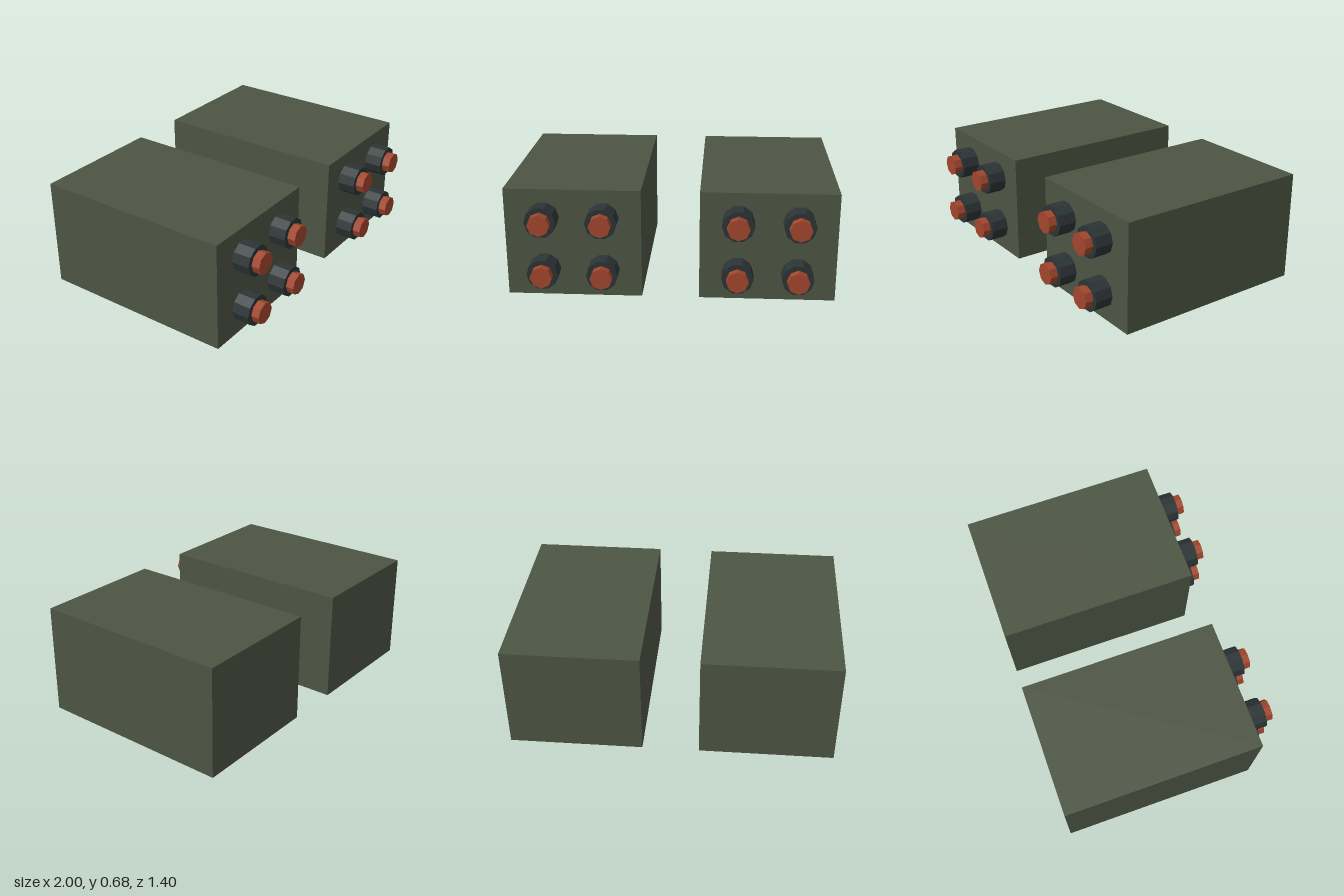
import * as THREE from 'three';

export function createModel() {
  const model = new THREE.Group();
  model.name = 'twinLauncherPods';

  const mat = (name, color) => {
    const m = new THREE.MeshStandardMaterial({ color, flatShading: true });
    m.name = name;
    return m;
  };
  const olive = mat('olive green', 0x4d5543);
  const charcoal = mat('charcoal', 0x2c3436);
  const rust = mat('rust red', 0xa2462d);

  // Cylinder lying along z, with corners on the x axis
  const rod = (radius, z0, z1, sides) =>
    new THREE.CylinderGeometry(radius, radius, z1 - z0, sides, 1, false, Math.PI / 2)
      .rotateX(Math.PI / 2)
      .translate(0, 0, (z0 + z1) / 2);

  const boxGeo = new THREE.BoxGeometry(0.825, 0.68, 1.24);
  const tubeGeo = rod(0.096, 0.5, 0.65, 10);
  const tipGeo = rod(0.067, 0.62, 0.7, 8);

  const add = (parent, name, geometry, material, x, y, z) => {
    const mesh = new THREE.Mesh(geometry, material);
    mesh.name = name;
    mesh.position.set(x, y, z);
    parent.add(mesh);
  };

  // One pod on each side, each with a two by two set of tubes
  for (const side of [1, -1]) {
    const pod = new THREE.Group();
    pod.name = side > 0 ? 'leftPod' : 'rightPod';
    add(pod, 'podBox', boxGeo, olive, side * 0.5875, 0.34, -0.08);
    for (const x of [0.405, 0.765]) {
      for (const y of [0.175, 0.507]) {
        add(pod, 'launchTube', tubeGeo, charcoal, side * x, y, 0);
        add(pod, 'warheadTip', tipGeo, rust, side * x, y, 0);
      }
    }
    model.add(pod);
  }
  return model;
}
